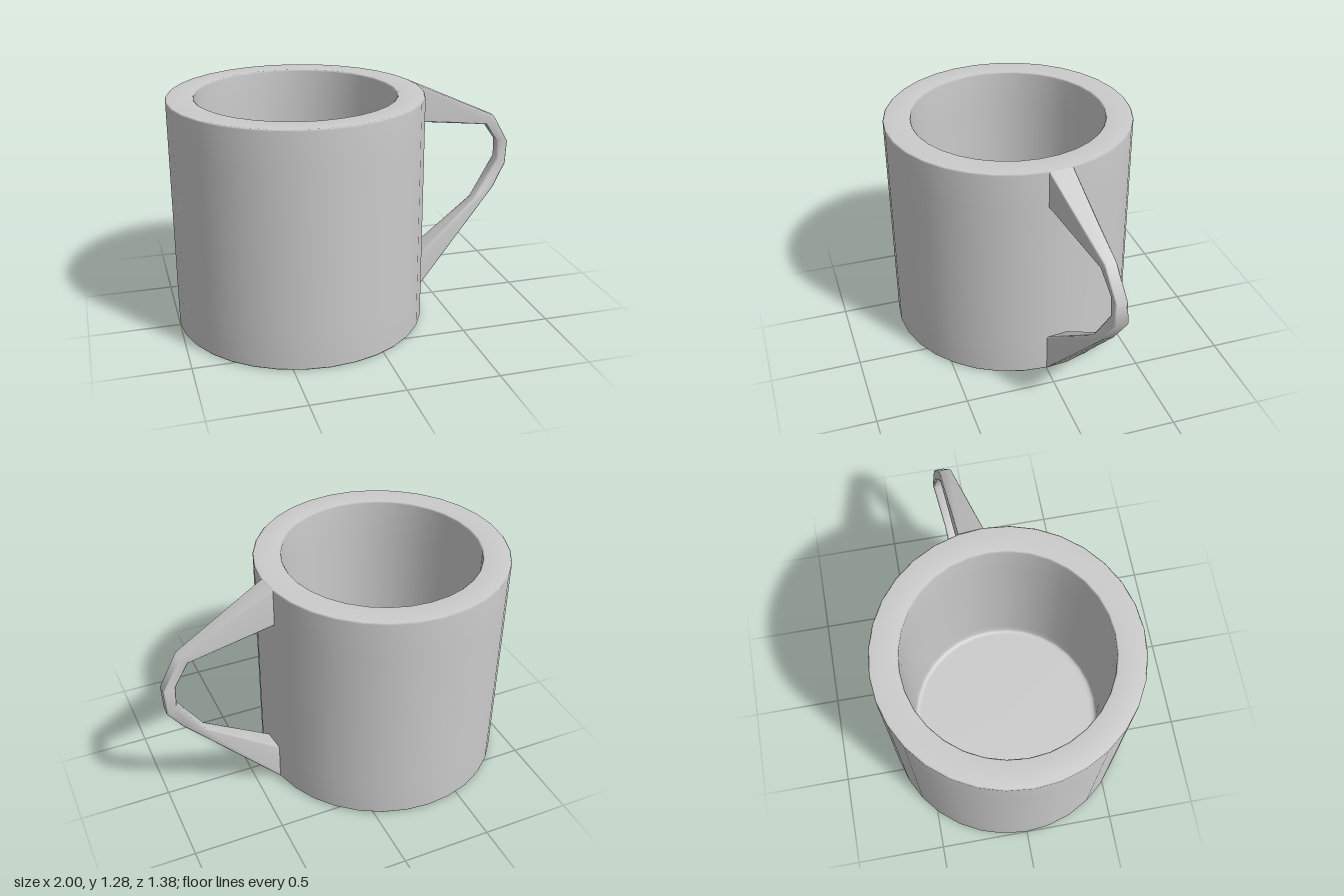
import * as THREE from 'three';

const material = new THREE.MeshStandardMaterial({ color: 0xcccccc });
const CUP_X = -0.31;

// Thick-walled cup turned from one profile, with small bevels on the edges
function makeBody() {
  const profile = [
    [0, 0], [0.67, 0], [0.683, 0], [0.69, 0.008],
    [0.69, 0.22], [0.69, 1.07],
    [0.69, 1.277], [0.683, 1.285], [0.615, 1.285], [0.548, 1.285], [0.54, 1.277],
    [0.54, 1.07], [0.54, 0.22], [0.54, 0.165], [0.53, 0.15], [0.51, 0.15], [0, 0.15],
  ].map(([r, y]) => new THREE.Vector2(r, y));
  const body = new THREE.Mesh(new THREE.LatheGeometry(profile, 32), material);
  body.name = 'cupBody';
  body.position.x = CUP_X;
  return body;
}

// Tapering angular handle lofted through chamfered four-cornered sections
function makeHandle() {
  // outer x, outer y, inner x, inner y, front z, back z
  const sections = [
    [0.365, 1.283, 0.365, 1.07, 0, -0.135],
    [0.89, 1.04, 0.845, 0.99, -0.097, -0.165],
    [0.995, 0.87, 0.927, 0.88, -0.122, -0.187],
    [0.99, 0.73, 0.935, 0.77, -0.124, -0.202],
    [0.91, 0.6, 0.78, 0.53, -0.098, -0.17],
    [0.365, 0.002, 0.365, 0.225, 0, -0.135],
  ];
  const positions = [];
  const index = [];
  const sides = 8;
  sections.forEach(([ox, oy, ix, iy, zf, zb], s) => {
    const end = s === 0 || s === sections.length - 1;
    const fx = end ? 0.012 : 0; // the root follows the cup's wall
    const corners = [
      new THREE.Vector3(ox + fx, oy, zf), new THREE.Vector3(ox, oy, zb),
      new THREE.Vector3(ix, iy, zb), new THREE.Vector3(ix + fx, iy, zf),
    ];
    const chamfer = end ? 0.04 : 0.14;
    corners.forEach((corner, c) => {
      const before = corners[(c + 3) % 4];
      const after = corners[(c + 1) % 4];
      positions.push(...corner.clone().lerp(before, chamfer).toArray());
      positions.push(...corner.clone().lerp(after, chamfer).toArray());
    });
    if (s === 0) return;
    for (let j = 0; j < sides; j++) {
      const a = (s - 1) * sides + j;
      const c = (s - 1) * sides + (j + 1) % sides;
      index.push(a, a + sides, c, a + sides, c + sides, c);
    }
  });
  const geometry = new THREE.BufferGeometry();
  geometry.setAttribute('position', new THREE.Float32BufferAttribute(positions, 3));
  geometry.setIndex(index);
  geometry.computeVertexNormals();
  const handle = new THREE.Mesh(geometry, material);
  handle.name = 'handle';
  return handle;
}

export function createModel() {
  const mug = new THREE.Group();
  mug.name = 'mug';
  mug.add(makeBody(), makeHandle());
  return mug;
}
